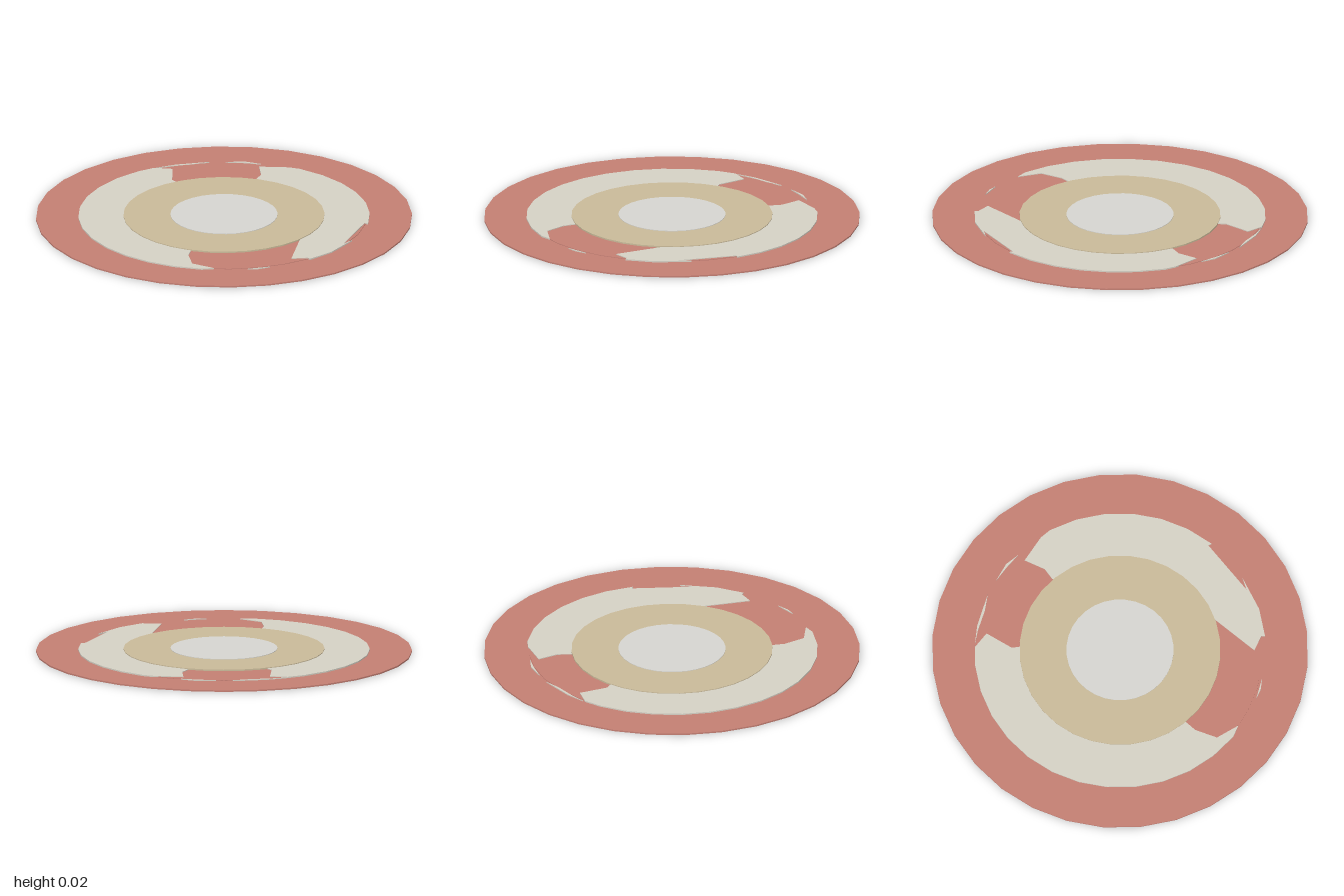
import * as THREE from 'three';

const RED = 0xc47f73, CREAM = 0xd5d1c5, TAN = 0xc9ba99, PALE = 0xd6d5d0;
const SIDES = 32;

// Points [x, z] along an arc; angles in degrees, 0 at +x and 90 at +z
function arc(radius, from, to) {
  const n = Math.max(1, Math.round(Math.abs(to - from) / 11.25));
  return Array.from({ length: n + 1 }, (_, i) => {
    const a = THREE.MathUtils.degToRad(from + (to - from) * i / n);
    return [radius * Math.cos(a), radius * Math.sin(a)];
  });
}

function addMesh(group, name, geometry, color) {
  const material = new THREE.MeshStandardMaterial({ color, flatShading: true });
  const mesh = new THREE.Mesh(geometry, material);
  mesh.name = name;
  group.add(mesh);
}

// Flat round plate between two heights
function addDisc(group, name, radius, bottom, top, color) {
  const geometry = new THREE.CylinderGeometry(radius, radius, top - bottom, SIDES);
  geometry.translate(0, (top + bottom) / 2, 0);
  addMesh(group, name, geometry, color);
}

// Flat plate with an outline of [x, z] points
function addPlate(group, name, points, bottom, top, color) {
  const shape = new THREE.Shape(points.map(([x, z]) => new THREE.Vector2(x, -z)));
  const geometry = new THREE.ExtrudeGeometry(shape, { depth: top - bottom, bevelEnabled: false });
  geometry.rotateX(-Math.PI / 2).translate(0, bottom, 0);
  addMesh(group, name, geometry, color);
}

export function createModel() {
  const group = new THREE.Group();
  group.name = 'layeredDisc';

  // Stacked round layers
  addDisc(group, 'outerDisc', 1, 0.001, 0.009, RED);
  addDisc(group, 'redCore', 0.76, 0.008, 0.012, RED);
  addDisc(group, 'tanDisc', 0.535, 0.01, 0.02, TAN);
  addDisc(group, 'centreDisc', 0.285, 0.018, 0.023, PALE);

  // Cream ring, broken where the red layer rises through it
  const left = [
    [0.1, -0.765], ...arc(0.775, -90, -225), [-0.49, 0.58], [-0.545, 0.46],
    [-0.49, 0.35], [-0.44, 0.305], ...arc(0.5, -216, -81), [0.075, -0.57], [0.17, -0.695],
  ];
  const right = [
    [0.44, -0.315], [0.5, -0.35], [0.56, -0.45], [0.68, -0.35], ...arc(0.775, -22.5, 45),
    [0.54, 0.53], [0.27, 0.705], [0.34, 0.69], [0.155, 0.76], [0, 0.775], [0, 0.755],
    [-0.075, 0.71], [0.12, 0.52], ...arc(0.5, 76, -33),
  ];
  addPlate(group, 'creamRingLeft', left, 0.008, 0.016, CREAM);
  addPlate(group, 'creamRingRight', right, 0.008, 0.016, CREAM);

  // Thin slivers of the ring showing in the gaps
  const slivers = [
    [[0.11, -0.765], [0.22, -0.74], [0.39, -0.665], [0.3, -0.69], [0.19, -0.74]],
    [[0.46, -0.615], [0.55, -0.55], [0.595, -0.48], [0.53, -0.55]],
    [[-0.35, 0.69], [-0.235, 0.735], [-0.3, 0.72]],
  ];
  slivers.forEach((points) => addPlate(group, 'creamSliver', points, 0.008, 0.014, CREAM));

  // Cream patch emerging on the underside
  const patch = [
    [0.65, -0.41], [0.39, -0.62], [-0.72, -0.26], [-0.6, 0.03], [-0.27, 0.14], [-0.37, 0.49],
    [-0.245, 0.73], [0.15, 0.71], [0.52, 0.58], [0.65, 0.42], [0.78, 0.04],
  ];
  addPlate(group, 'undersidePatch', patch, 0, 0.004, CREAM);

  return group;
}
